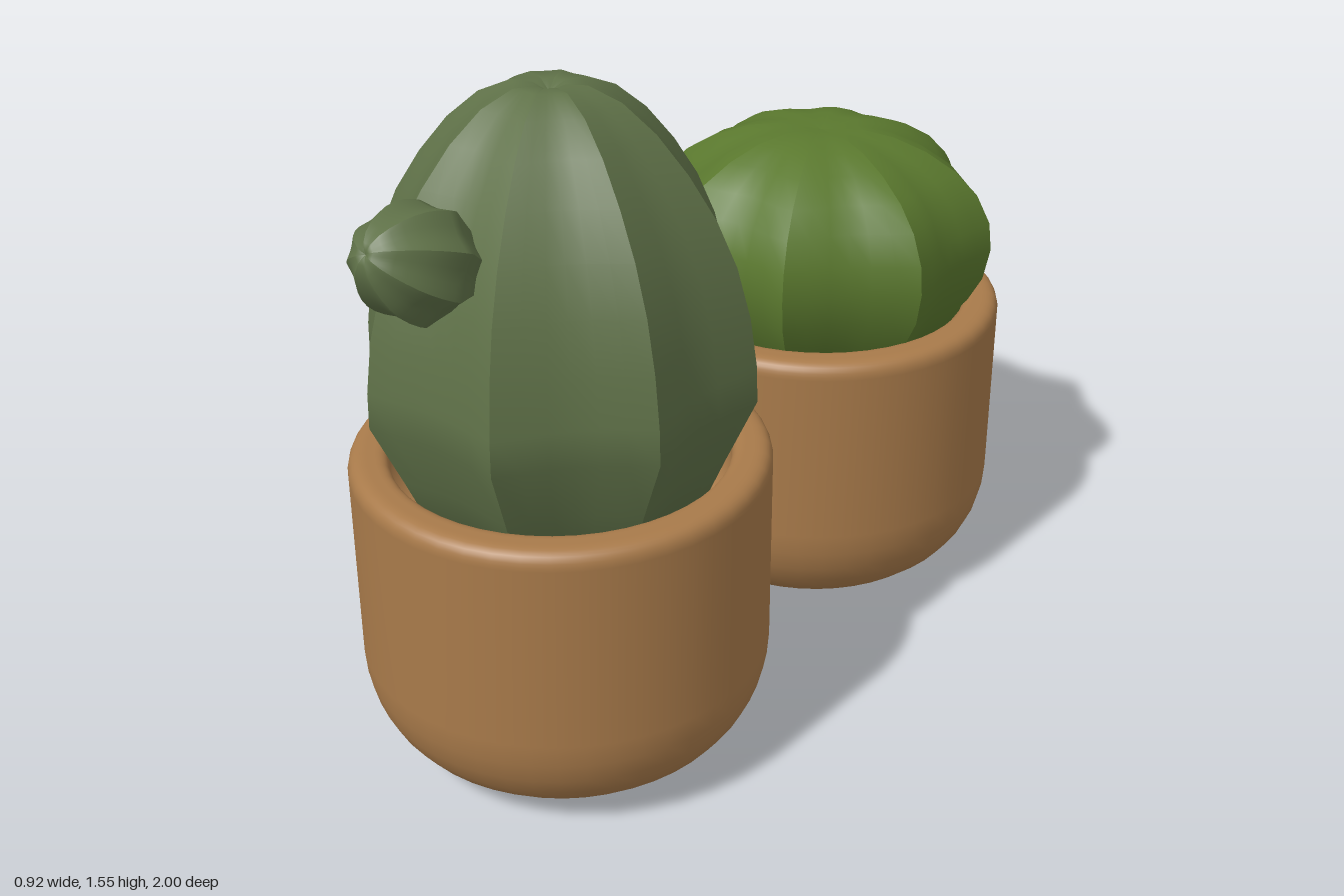
import * as THREE from 'three';

const RIBS = 8, COLS = 6;
const paint = color => new THREE.MeshStandardMaterial({ color });

// Ribbed body: each rib-to-rib strip has its own vertices, so ridges stay sharp and grooves smooth.
function ribbedBody(profile, depth, roundTop) {
  const pos = [], index = [], rows = profile.length;
  for (let k = 0; k < RIBS; k++) {
    const base = pos.length / 3;
    profile.forEach(([r, y], i) => {
      const soft = roundTop * THREE.MathUtils.smoothstep(i / (rows - 1), 0.45, 0.75);
      for (let j = 0; j <= COLS; j++) {
        const t = j / COLS, a = (k + t + 0.5) * Math.PI * 2 / RIBS;
        const groove = THREE.MathUtils.lerp(Math.sin(Math.PI * t), (1 - Math.cos(2 * Math.PI * t)) / 2, soft);
        const rad = r * (1 - depth * groove);
        pos.push(rad * Math.sin(a), y, rad * Math.cos(a));
      }
    });
    for (let i = 0; i < rows - 1; i++) for (let j = 0; j < COLS; j++) {
      const a = base + i * (COLS + 1) + j, b = a + 1, c = a + COLS + 1, d = c + 1;
      index.push(a, b, c, b, d, c);
    }
  }
  const g = new THREE.BufferGeometry();
  g.setAttribute('position', new THREE.Float32BufferAttribute(pos, 3));
  g.setIndex(index);
  g.computeVertexNormals();
  return g;
}

// Outside wall, rounded rim, then the hollow inside
function potGeometry() {
  const s = new THREE.Path();
  s.moveTo(0, 0);
  s.lineTo(0.2, 0);
  s.bezierCurveTo(0.37, 0.01, 0.46, 0.12, 0.46, 0.27);
  s.lineTo(0.46, 0.7);
  s.quadraticCurveTo(0.46, 0.74, 0.42, 0.74);
  s.lineTo(0.4, 0.74);
  s.quadraticCurveTo(0.37, 0.74, 0.37, 0.71);
  s.lineTo(0.37, 0.52);
  s.lineTo(0, 0.52);
  return new THREE.LatheGeometry(s.getPoints(8), 48);
}

export function createModel() {
  const model = new THREE.Group();
  const clay = paint(0xa87a4a), darkGreen = paint(0x5f7148), green = paint(0x5a782e);
  const add = (parent, name, geometry, material) => {
    const mesh = new THREE.Mesh(geometry, material);
    mesh.name = name;
    parent.add(mesh);
    return mesh;
  };

  // Profiles as [ridge radius, height]
  const tall = [[0, 0.5], [0.28, 0.54], [0.365, 0.74], [0.432, 0.89], [0.43, 0.97], [0.415, 1.08],
    [0.386, 1.19], [0.342, 1.29], [0.285, 1.38], [0.22, 1.46], [0.15, 1.52], [0.08, 1.55], [0.035, 1.548], [0, 1.53]];
  const round = [[0, 0.52], [0.3, 0.6], [0.375, 0.72], [0.418, 0.8], [0.433, 0.88], [0.425, 0.95],
    [0.39, 1.02], [0.335, 1.075], [0.26, 1.12], [0.18, 1.15], [0.1, 1.163], [0, 1.155]];
  const tallBody = ribbedBody(tall, 0.12, 0);
  const pot = potGeometry();

  // Front pot with the tall cactus
  const front = new THREE.Group();
  front.name = 'tallCactusPlant';
  front.position.z = 0.46;
  add(front, 'frontPot', pot, clay);
  add(front, 'tallCactus', tallBody, darkGreen);

  // Offshoot: a small copy of the body growing forward and up
  const budGeometry = tallBody.clone().translate(0, -0.9, 0).scale(0.285, 0.25, 0.285);
  const bud = add(front, 'offshoot', budGeometry, darkGreen);
  bud.position.set(0, 1.295, 0.38);
  bud.rotation.x = THREE.MathUtils.degToRad(64);

  // Back pot with the round cactus
  const back = new THREE.Group();
  back.name = 'roundCactusPlant';
  back.position.z = -0.54;
  add(back, 'backPot', pot, clay);
  add(back, 'roundCactus', ribbedBody(round, 0.12, 1), green);

  model.add(front, back);
  return model;
}
